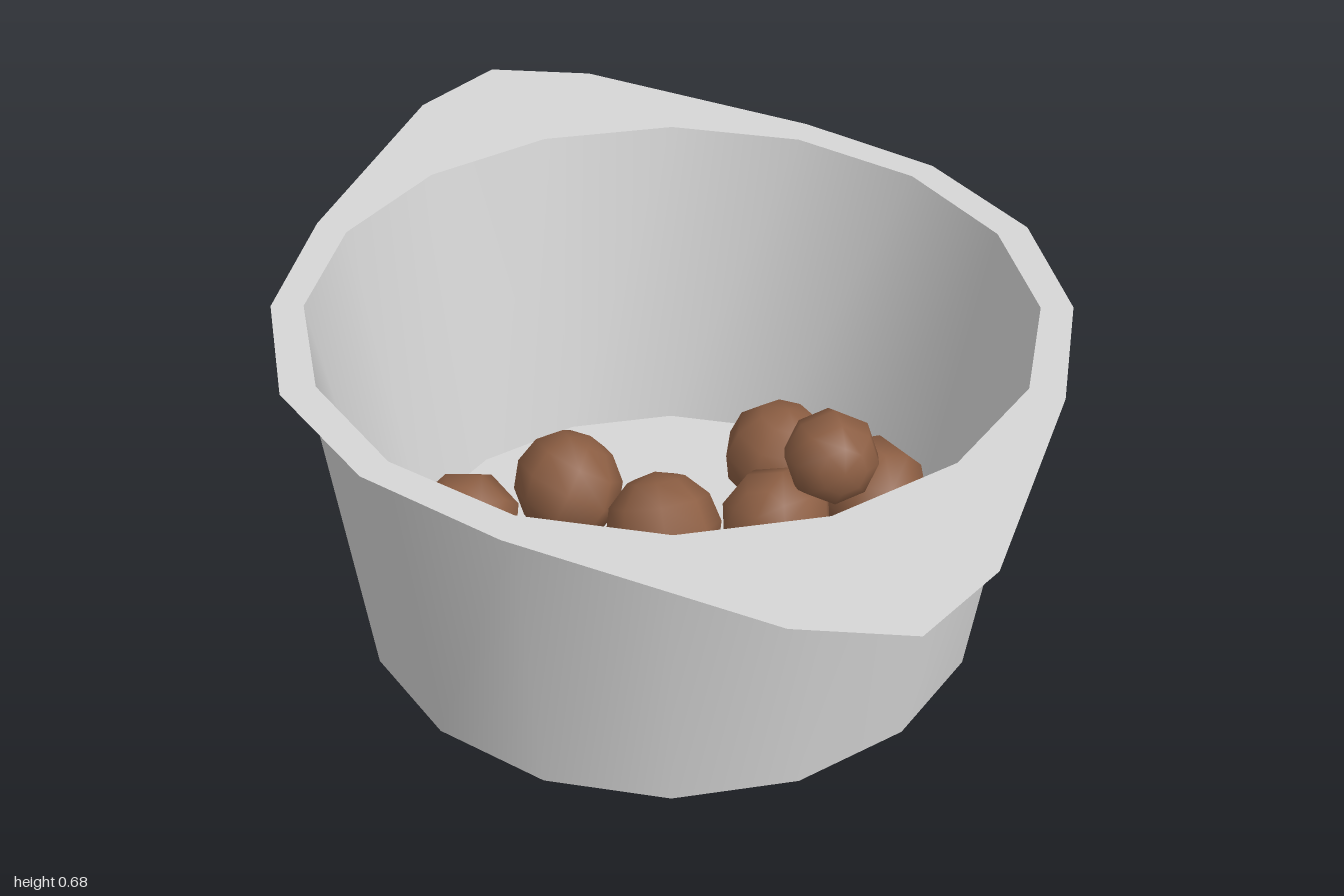
import * as THREE from 'three';

const SIDES = 16;
const metal = new THREE.MeshStandardMaterial({ color: 0xd6d6d6 });
metal.name = 'lightGrey';
const brown = new THREE.MeshStandardMaterial({ color: 0x8c5e43 });
brown.name = 'brown';

// Regular ring of points at height y
function ring(r, y) {
  return Array.from({ length: SIDES }, (_, k) => {
    const a = (k / SIDES) * Math.PI * 2;
    return [r * Math.sin(a), y, r * Math.cos(a)];
  });
}

// Pointed rim outline, mirrored from one quarter (x, z)
function rimOutline(y) {
  const quarter = [[0, 1], [0.185, 0.905], [0.52, 0.53], [0.68, 0.28], [0.74, 0]];
  return Array.from({ length: SIDES }, (_, k) => {
    const h = k <= 8 ? k : SIDES - k;
    const [x, z] = quarter[h <= 4 ? h : 8 - h];
    return [k <= 8 ? x : -x, y, h <= 4 ? z : -z];
  });
}

// Smooth band of quads joining two rings
function band(name, a, b) {
  const geo = new THREE.BufferGeometry();
  geo.setAttribute('position', new THREE.Float32BufferAttribute([...a, ...b].flat(), 3));
  const index = [];
  for (let k = 0; k < SIDES; k++) {
    const n = (k + 1) % SIDES;
    index.push(k, n, SIDES + n, k, SIDES + n, SIDES + k);
  }
  geo.setIndex(index);
  geo.computeVertexNormals();
  const mesh = new THREE.Mesh(geo, metal);
  mesh.name = name;
  return mesh;
}

export function createModel() {
  const model = new THREE.Group();
  model.name = 'bowlOfPellets';

  // Bowl, set down very slightly tilted and turned
  const bowl = new THREE.Group();
  bowl.name = 'bowl';
  const base = ring(0.603, 0);
  const wallTop = ring(0.685, 0.618);
  const lip = rimOutline(0.658);
  const mouth = ring(0.675, 0.658);
  const floor = ring(0.55, 0.02);
  bowl.add(
    band('underside', ring(0, 0), base),
    band('outerWall', base, wallTop),
    band('rimUnderside', wallTop, lip),
    band('rimTop', lip, mouth),
    band('innerWall', mouth, floor),
    band('floor', floor, ring(0, 0.02)),
  );
  bowl.rotation.set(0.011, -0.015, 0);
  bowl.position.y = 0.007;
  model.add(bowl);

  // Pellets: x, y, z, half width, half depth
  const pellets = new THREE.Group();
  pellets.name = 'pellets';
  const shape = new THREE.SphereGeometry(1.03, 8, 6);
  [
    [-0.35, 0.12, -0.21, 0.108, 0.105],
    [-0.125, 0.135, -0.23, 0.105, 0.118],
    [-0.415, 0.12, -0.015, 0.105, 0.105],
    [-0.305, 0.11, 0.105, 0.09, 0.092],
    [-0.005, 0.13, -0.025, 0.112, 0.113],
    [0.31, 0.13, -0.16, 0.11, 0.115],
    [0.21, 0.13, 0.04, 0.11, 0.11],
    [0.43, 0.13, 0.025, 0.107, 0.117],
    [0.31, 0.28, 0.07, 0.092, 0.092],
    [0.1, 0.125, 0.215, 0.126, 0.113],
    [0.325, 0.125, 0.225, 0.107, 0.107],
  ].forEach(([x, y, z, rx, rz], i) => {
    const pellet = new THREE.Group();
    pellet.name = 'pellet' + (i + 1);
    const mesh = new THREE.Mesh(shape, brown);
    mesh.name = 'pelletBody';
    mesh.rotation.set(0.6 + i * 1.3, i * 0.9, 0.4 + i * 0.7);
    pellet.add(mesh);
    pellet.scale.set(rx, Math.min(rx, rz), rz);
    pellet.position.set(x, y, z);
    pellets.add(pellet);
  });
  model.add(pellets);

  return model;
}
